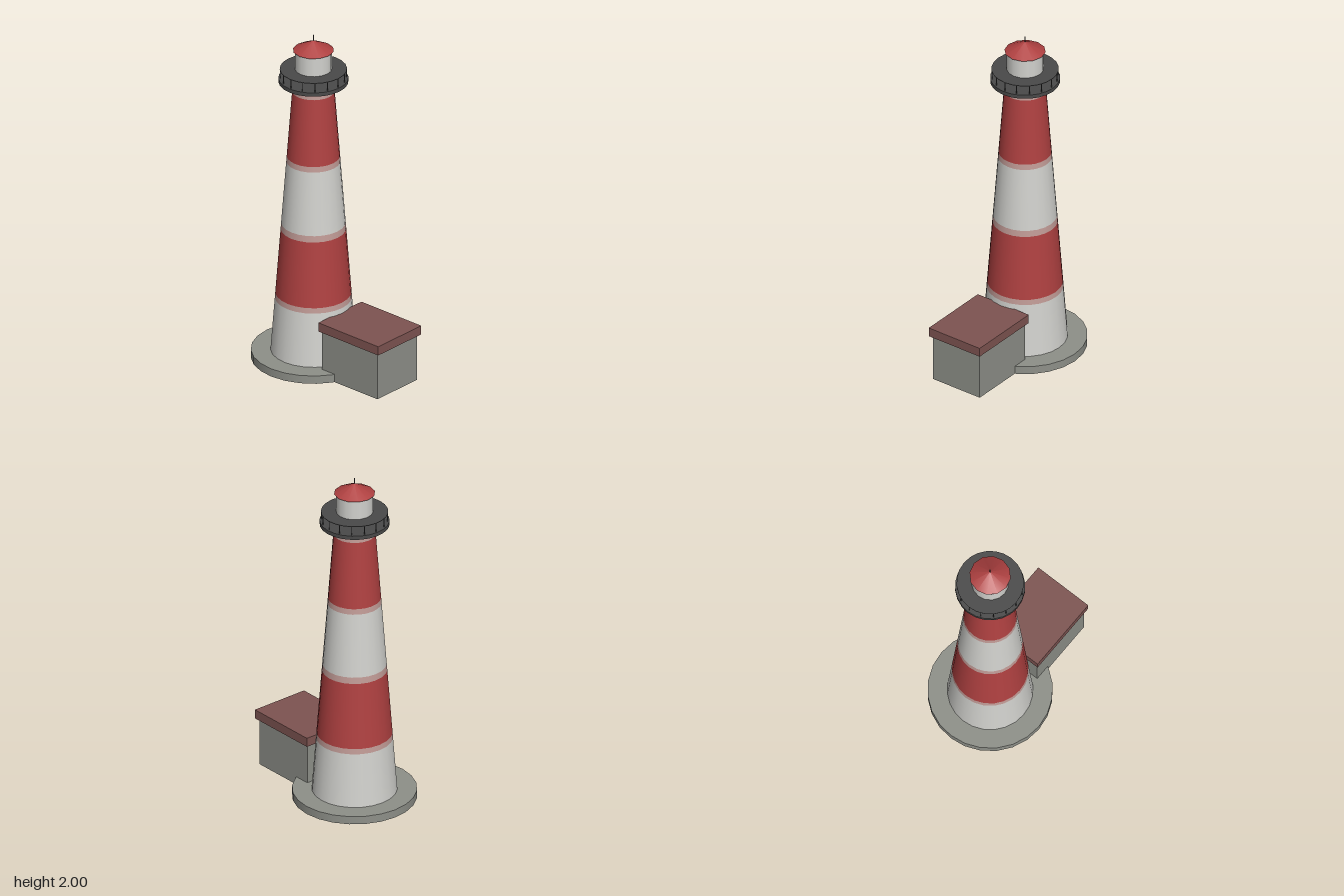
import * as THREE from 'three';

const mat = (name, color, side = THREE.FrontSide) => {
  const m = new THREE.MeshStandardMaterial({ color, side });
  m.name = name;
  return m;
};

export function createModel() {
  const root = new THREE.Group();
  root.name = 'lighthouse';
  const white = mat('off white', 0xd2d2ce);
  const red = mat('red', 0xb04141);
  const pink = mat('faded pink', 0xc29c97);
  const stone = mat('stone grey', 0x8e9089);
  const iron = mat('dark iron', 0x4a4a4a);
  const brown = mat('brown red', 0x7e5451);

  const tower = new THREE.Group();
  tower.name = 'tower';
  tower.position.x = -0.15;
  root.add(tower);

  const add = (parent, name, geometry, material, x = 0, y = 0, z = 0) => {
    const mesh = new THREE.Mesh(geometry, material);
    mesh.name = name;
    mesh.position.set(x, y, z);
    parent.add(mesh);
    return mesh;
  };
  // Upright cylinder or frustum between two heights
  const drum = (name, r0, r1, y0, y1, material, sides = 24, open = false) =>
    add(tower, name, new THREE.CylinderGeometry(r1, r0, y1 - y0, sides, 1, open), material, 0, (y0 + y1) / 2);

  // Foundation
  drum('foundation', 0.35, 0.35, 0, 0.048, stone);

  // Tapered shaft, split into painted bands
  const bottom = 0.048, top = 1.692;
  const radius = (y) => 0.24 + (0.116 - 0.24) * (y - bottom) / (top - bottom);
  const bands = [
    [bottom, 0.37, white], [0.37, 0.402, pink], [0.402, 0.797, red], [0.797, 0.835, pink],
    [0.835, 1.217, white], [1.217, 1.25, pink], [1.25, 1.652, red], [1.652, top, pink],
  ];
  bands.forEach(([y0, y1, m], i) =>
    drum('shaftBand' + (i + 1), radius(y0), radius(y1), y0, y1, m, 24, i < bands.length - 1));

  // Gallery with posts and thin upper plate
  drum('galleryDeck', 0.196, 0.196, 1.712, 1.735, iron);
  drum('galleryUpperPlate', 0.188, 0.188, 1.788, 1.791, iron);
  const post = new THREE.CylinderGeometry(0.0025, 0.0025, 0.055, 6);
  for (let i = 0; i < 16; i++) {
    const a = i * Math.PI / 8;
    add(tower, 'galleryPost', post, iron, 0.185 * Math.sin(a), 1.762, 0.185 * Math.cos(a));
  }

  // Lantern room, roof and mast
  drum('lanternRoom', 0.104, 0.104, 1.77, 1.908, white, 16);
  add(tower, 'lanternRoof', new THREE.ConeGeometry(0.116, 0.06, 12), red, 0, 1.937, 0);
  drum('mast', 0.003, 0.003, 1.96, 2, iron, 6);

  // Side house
  add(root, 'houseWalls', new THREE.BoxGeometry(0.415, 0.287, 0.328), stone, 0.2725, 0.1435, 0);
  add(root, 'houseRoof', new THREE.BoxGeometry(0.45, 0.054, 0.358), brown, 0.275, 0.312, 0);

  return root;
}
